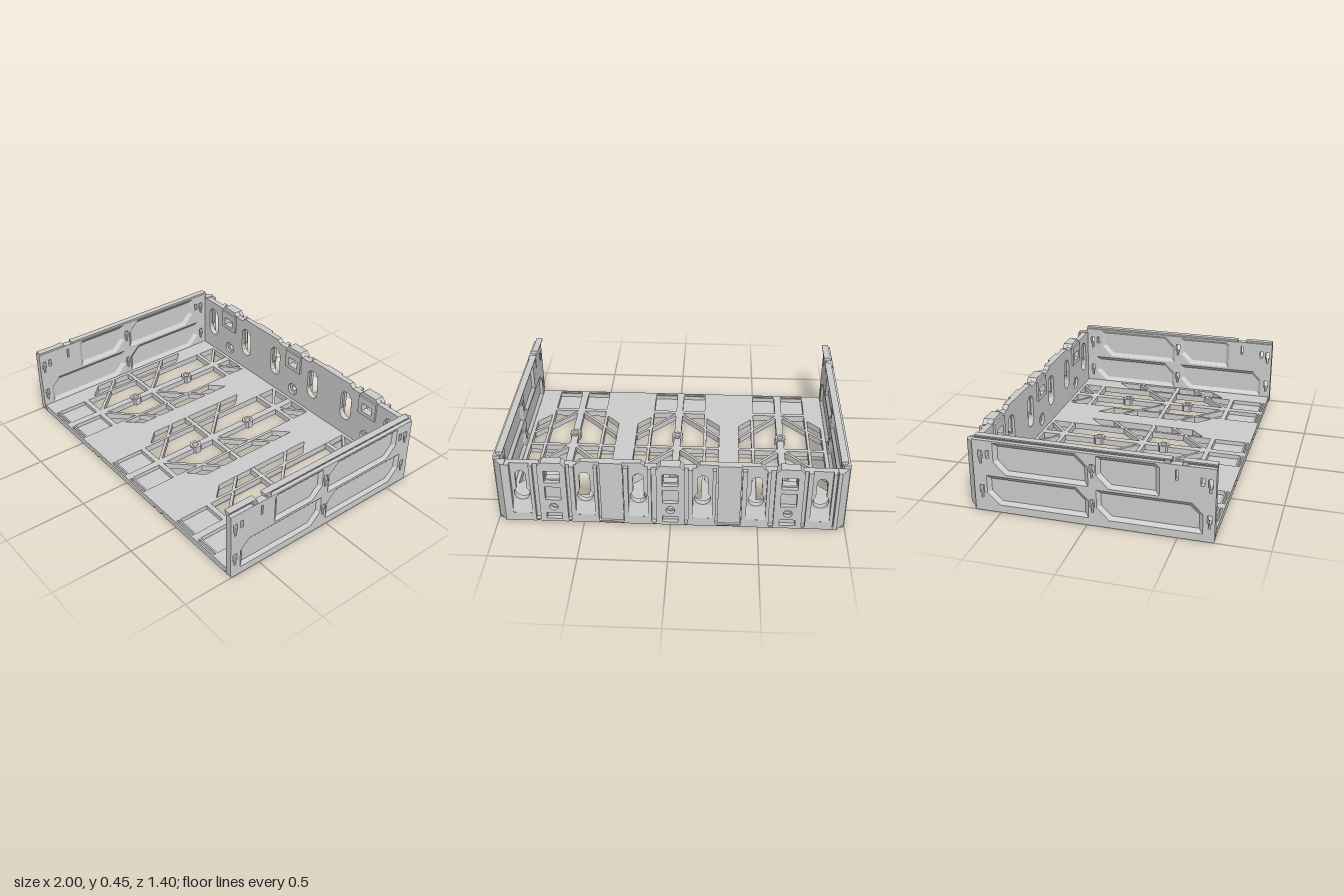
import * as THREE from 'three';

const grey = new THREE.MeshStandardMaterial({ color: 0xcccccc, flatShading: true });
const greyThin = new THREE.MeshStandardMaterial({ color: 0xcccccc, flatShading: true, side: THREE.DoubleSide });
const V = (p) => p.map(([x, y]) => new THREE.Vector2(x, y));
const rect = (x0, x1, y0, y1) => [[x0, y0], [x1, y0], [x1, y1], [x0, y1]];
const hole = (pts) => new THREE.Path(V(pts));
const round = (x, y, r) => new THREE.Path().absarc(x, y, r, 0, Math.PI * 2);

// extruded plate in the XY plane with holes
function plate(pts, holes, depth) {
  const s = new THREE.Shape(V(pts));
  s.holes = holes;
  return new THREE.ExtrudeGeometry(s, { depth, bevelEnabled: false, curveSegments: 10 });
}

// hanging slot: round entry below, slot of half width w above
function keyhole(x, w, R = 0.045) {
  const a = Math.acos(w / R), p = new THREE.Path(), top = 0.352 - w;
  p.moveTo(x + w, 0.195 + R * Math.sin(a));
  p.lineTo(x + w, top);
  p.absarc(x, top, w, 0, Math.PI);
  p.lineTo(x - w, 0.195 + R * Math.sin(a));
  p.absarc(x, 0.195, R, Math.PI - a, Math.PI * 2 + a);
  return p;
}

const bays = [-0.667, 0, 0.667];
const slots = bays.flatMap((c) => [c - 0.182, c + 0.182]);

export function createModel() {
  const model = new THREE.Group();
  const add = (name, geo, parent = model, mat = grey) => {
    const m = new THREE.Mesh(geo, mat);
    m.name = name;
    parent.add(m);
    return m;
  };
  const part = (name) => {
    const g = new THREE.Group();
    g.name = name;
    model.add(g);
    return g;
  };
  // horizontal plate: points are (x, -z)
  const flat = (pts, holes, y0, y1) => plate(pts, holes, y1 - y0).rotateX(-Math.PI / 2).translate(0, y0, 0);
  const upright = (pts, holes, z0, z1) => plate(pts, holes, z1 - z0).translate(0, 0, z0);

  // ---------- floor ----------
  const floor = part('floor');
  const openings = () => bays.flatMap((c) => {
    const list = [hole(rect(c - 0.17, c + 0.17, -0.44, 0.62))];
    for (const s of [-1, 1]) {
      list.push(hole([[c + s * 0.188, -0.385], [c + s * 0.27, -0.3], [c + s * 0.27, 0.385], [c + s * 0.188, 0.3]]));
      list.push(hole(rect(c + Math.min(s * 0.025, s * 0.17), c + Math.max(s * 0.025, s * 0.17), -0.685, -0.67)));
    }
    return list;
  });
  // shallow trays near the front edge, cut only in the upper layer
  const trays = bays.flatMap((c) => [-1, 1].map((s) =>
    hole(rect(c + Math.min(s * 0.022, s * 0.17), c + Math.max(s * 0.022, s * 0.17), -0.66, -0.47))));
  add('floorTop', flat(rect(-0.98, 0.98, -0.695, 0.66), [...openings(), ...trays], 0.014, 0.04), floor);
  // lower layer with guide grooves open at the front
  const under = [[-0.99, -0.695]];
  for (const g of [-0.96, -0.37, -0.3, 0.3, 0.37, 0.96]) {
    under.push([g - 0.012, -0.695], [g - 0.012, 0.6], [g + 0.012, 0.6], [g + 0.012, -0.695]);
  }
  under.push([0.99, -0.695], [0.99, 0.66], [-0.99, 0.66]);
  add('floorUnderside', flat(under, openings(), 0, 0.014), floor);

  // ribs crossing the openings
  const bar = (x1, z1, x2, z2, w, name) => {
    const b = add(name, new THREE.BoxGeometry(Math.hypot(x2 - x1, z2 - z1), 0.038, w), floor);
    b.position.set((x1 + x2) / 2, 0.02, (z1 + z2) / 2);
    b.rotation.y = -Math.atan2(z2 - z1, x2 - x1);
  };
  bar(-0.95, 0.043, 0.95, 0.043, 0.026, 'crossRib');
  const hex = [...Array(6)].map((_, i) => [0.038 * Math.sin(i * Math.PI / 3), 0.038 * Math.cos(i * Math.PI / 3)]);
  for (const c of bays) {
    for (const [a, b] of [[-0.63, -0.28], [-0.22, 0.145], [0.205, 0.45]]) bar(c, a, c, b, 0.044, 'centreRib');
    bar(c - 0.175, -0.487, c + 0.175, -0.487, 0.026, 'rearRib');
    for (const s of [-1, 1]) {
      bar(c + s * 0.17, -0.63, c + s * 0.015, -0.49, 0.018, 'diagonalRib');
      bar(c + s * 0.27, -0.23, c + s * 0.015, 0.035, 0.018, 'diagonalRib');
      bar(c + s * 0.27, 0.17, c + s * 0.015, 0.435, 0.018, 'diagonalRib');
    }
    for (const z of [-0.25, 0.175]) {
      add('hexBoss', flat(hex, [round(0, 0, 0.019)], 0, 0.046), floor).position.set(c, 0, z);
    }
  }

  // ---------- side walls ----------
  // recessed panels as [zFront, zBack, y0, y1, top corner cut, bottom corner cut]
  const panels = [[0.4, 0.055, 0.235, 0.42, 0.02, 0.07], [0.01, -0.53, 0.235, 0.42, 0.07, 0.07],
    [0.635, 0.055, 0.045, 0.22, 0.06, 0.07], [0.01, -0.575, 0.045, 0.22, 0.07, 0.07]];
  const outline = ([f, b, y0, y1, ct, cb], i = 0) => [[f - i, y0 + i], [b + cb + i / 2, y0 + i], [b + i, y0 + cb + i / 2],
    [b + i, y1 - i], [f - ct - i / 2, y1 - i], [f - i, y1 - ct - i / 2]];
  // sloped dish between the rim at x = xr and its flat bottom at x = xb
  const dish = (p, xr, xb) => {
    const pos = [], idx = [];
    outline(p).forEach(([z, y]) => pos.push(xr, y, z));
    outline(p, 0.022).forEach(([z, y]) => pos.push(xb, y, z));
    for (let i = 0; i < 6; i++) {
      const j = (i + 1) % 6;
      idx.push(i, j, 6 + j, i, 6 + j, 6 + i);
      if (i > 0 && i < 5) idx.push(6, 6 + i, 7 + i);
    }
    const g = new THREE.BufferGeometry();
    g.setAttribute('position', new THREE.Float32BufferAttribute(pos, 3));
    g.setIndex(idx);
    g.computeVertexNormals();
    return g;
  };
  const wallHoles = () => {
    const list = panels.map((p) => hole(outline(p)));
    for (const z of [0.67, 0.032, -0.605]) for (const y of [0.29, 0.08]) {
      list.push(hole([[z - 0.006, y], [z + 0.006, y], [z + 0.006, y + 0.03], [z + 0.013, y + 0.03],
        [z + 0.013, y + 0.078], [z - 0.013, y + 0.078], [z - 0.013, y + 0.03], [z - 0.006, y + 0.03]]));
    }
    list.push(hole(rect(0.484, 0.497, 0.34, 0.4)));
    for (const z of [0.628, -0.563]) list.push(hole(rect(z - 0.01, z + 0.01, 0.325, 0.372)));
    return list;
  };
  const wallEdge = [[0.695, 0], [0.7, 0.01], [0.7, 0.43], [-0.65, 0.43], [-0.65, 0]];
  const railShape = [[0.958, 0.425], [0.972, 0.425], [0.985, 0.443], [0.985, 0.45], [0.945, 0.45], [0.945, 0.443]];
  for (const s of [-1, 1]) {
    const side = part(s > 0 ? 'leftWall' : 'rightWall');
    add('wallFrame', plate(wallEdge, wallHoles(), 0.04).rotateY(-Math.PI / 2).translate(s > 0 ? 1 : -0.96, 0, 0), side);
    for (const p of panels) {
      add('outerPanel', dish(p, s, s * 0.983), side, greyThin);
      add('innerPanel', dish(p, s * 0.96, s * 0.977), side, greyThin);
    }
    // flared top rail with a gap for the catch
    for (const [a, b] of [[-0.64, 0.46], [0.52, 0.7]]) {
      add('topRail', upright(railShape.map(([x, y]) => [s * x, y]), [], a, b), side);
    }
    for (const z of [0.44, 0.535]) {
      add('catch', new THREE.BoxGeometry(0.025, 0.02, 0.03), side).position.set(s * 0.982, 0.436, z);
    }
    // bevelled rear corner post
    const post = [[0.93, 0.645], [1, 0.645], [0.95, 0.7], [0.93, 0.7]].map(([x, z]) => [s * x, z]);
    add('cornerPost', flat(post, [], 0.015, 0.41), side);
  }

  // ---------- back wall ----------
  const back = part('backWall');
  const skyline = [[-0.95, 0], [0.95, 0], [0.95, 0.405], [0.74, 0.405], [0.72, 0.427], [0.614, 0.427], [0.594, 0.405],
    [0.53, 0.405], [0.505, 0.427], [0.165, 0.427], [0.145, 0.405], [0.075, 0.405], [0.055, 0.427]];
  const top = [...skyline, ...skyline.slice(3).reverse().map(([x, y]) => [-x, y]), [-0.95, 0.405]];
  const backHoles = (w, r) => [...slots.map((x) => keyhole(x, w)),
    ...bays.flatMap((c) => [hole(rect(c - 0.04, c + 0.04, 0.3, 0.355)), round(c, 0.12, r)])];
  add('innerSkin', upright(top, backHoles(0.0449, 0.04), -0.656, -0.64), back);
  add('outerSkin', upright(top, backHoles(0.03, 0.018), -0.675, -0.656), back);

  for (const c of bays) {
    // window frame on the inside
    add('windowFrame', upright(rect(c - 0.07, c + 0.07, 0.275, 0.4),
      [hole(rect(c - 0.04, c + 0.04, 0.3, 0.355))], -0.641, -0.628), back);
    // ladder-like column on the outside
    add('ladderColumn', upright([[c - 0.08, 0.015], [c + 0.08, 0.015], [c + 0.08, 0.4], [c + 0.055, 0.427],
      [c - 0.055, 0.427], [c - 0.08, 0.4]], [hole(rect(c - 0.045, c + 0.045, 0.29, 0.37)),
      hole(rect(c - 0.045, c + 0.045, 0.17, 0.26)), round(c, 0.12, 0.025),
      hole(rect(c - 0.045, c + 0.045, 0.035, 0.075))], -0.7, -0.674), back);
  }
  for (const x of slots) {
    // column with an open pocket around each hanging slot, and a ramp below it
    add('slotColumn', upright([[x - 0.075, 0.015], [x + 0.082, 0.015], [x + 0.082, 0.405], [x + 0.055, 0.405],
      [x + 0.055, 0.07], [x - 0.055, 0.07], [x - 0.055, 0.405], [x - 0.075, 0.405]], [], -0.7, -0.674), back);
    const ramp = plate([[-0.7, 0.068], [-0.674, 0.068], [-0.674, 0.15]], [], 0.112).rotateY(-Math.PI / 2);
    add('slotRamp', ramp.translate(x + 0.056, 0, 0), back);
  }
  for (const s of [-1, 1]) {
    add('flatColumn', upright(rect(s * 0.333 - 0.065, s * 0.333 + 0.065, 0.01, 0.427), [], -0.687, -0.674), back);
  }
  // bevelled bottom edge
  const sill = plate([[-0.65, 0], [-0.68, 0], [-0.7, 0.02], [-0.7, 0.03], [-0.65, 0.03]], [], 1.9).rotateY(-Math.PI / 2);
  add('backSill', sill.translate(0.95, 0, 0), back);

  return model;
}
